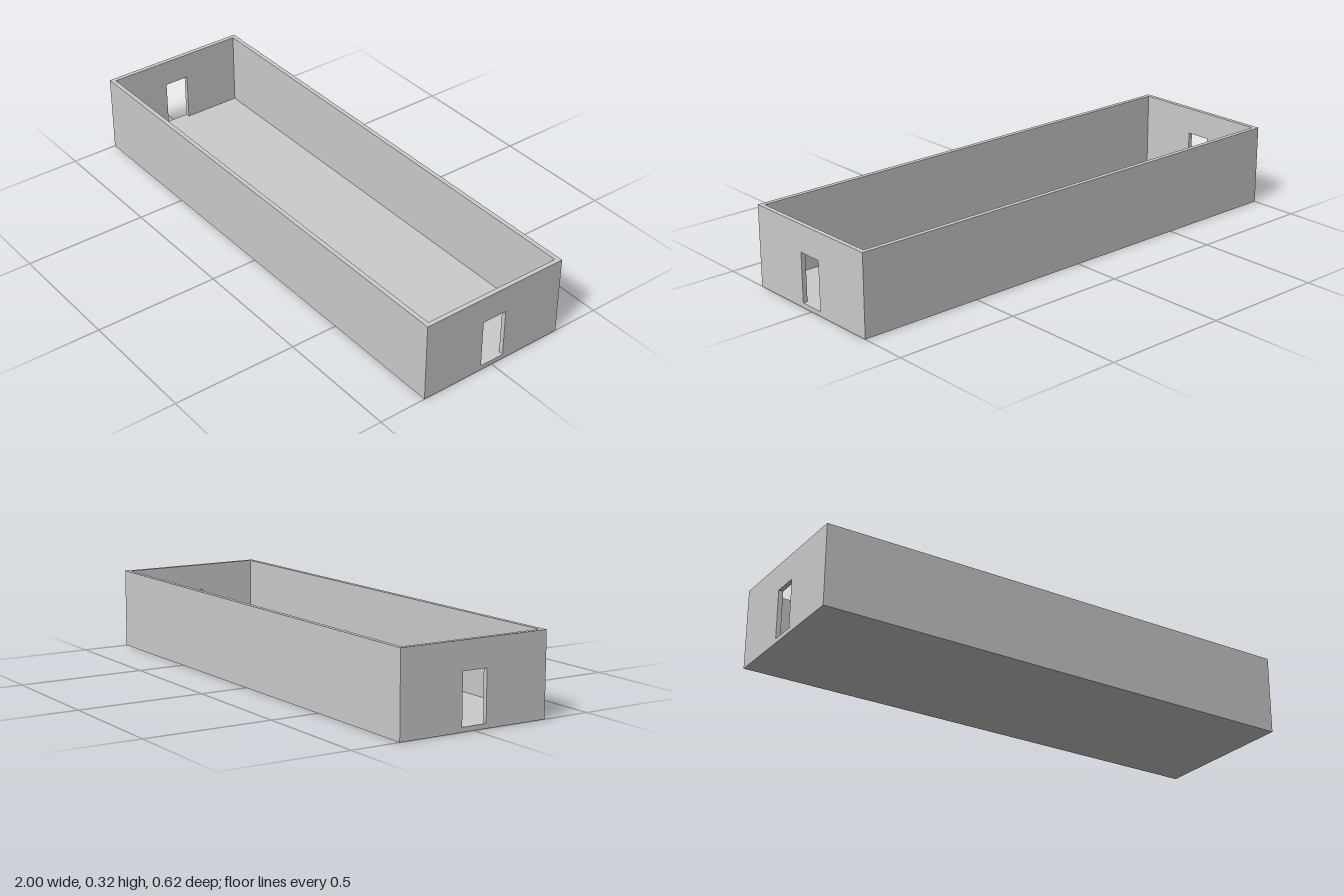
import * as THREE from 'three';

const L = 1, W = 0.308, H = 0.318;   // half length, half width, height
const T = 0.018;                     // wall and floor thickness
const DW = 0.051, DH = 0.211;        // doorway half width, top of doorway

const polygon = (points) => points.map(([x, y]) => new THREE.Vector2(x, y));
const rect = (x0, y0, x1, y1) => polygon([[x0, y0], [x1, y0], [x1, y1], [x0, y1]]);

export function createModel() {
  const model = new THREE.Group();
  const material = new THREE.MeshStandardMaterial({ color: 0xcccccc, flatShading: true });

  // One flat face of the shell; it faces +z before being turned
  function panel(parent, name, outline, { hole, rx = 0, ry = 0, at = [0, 0, 0] }) {
    const shape = new THREE.Shape(outline);
    if (hole) shape.holes.push(new THREE.Path(hole));
    const geometry = new THREE.ShapeGeometry(shape).rotateX(rx).rotateY(ry).translate(...at);
    const mesh = new THREE.Mesh(geometry, material);
    mesh.name = name;
    parent.add(mesh);
  }

  const up = -Math.PI / 2, down = Math.PI / 2;
  const li = L - T, wi = W - T;

  // Underside, floor and the rim along the top of the walls
  panel(model, 'underside', rect(-L, -W, L, W), { rx: down });
  panel(model, 'floor', rect(-li, -wi, li, wi), { rx: up, at: [0, T, 0] });
  panel(model, 'wallRim', rect(-L, -W, L, W), { hole: rect(-li, -wi, li, wi), rx: up, at: [0, H, 0] });

  // Long walls, front and back
  for (const [name, s] of [['frontWall', 1], ['backWall', -1]]) {
    const wall = new THREE.Group();
    wall.name = name;
    const out = s > 0 ? 0 : Math.PI;
    panel(wall, name + 'Outside', rect(-L, 0, L, H), { ry: out, at: [0, 0, s * W] });
    panel(wall, name + 'Inside', rect(-li, T, li, H), { ry: out + Math.PI, at: [0, 0, s * wi] });
    model.add(wall);
  }

  // End walls, each with a doorway down to the floor
  const insideOutline = polygon([
    [-wi, T], [-DW, T], [-DW, DH], [DW, DH], [DW, T], [wi, T], [wi, H], [-wi, H],
  ]);
  for (const [name, s] of [['leftEndWall', 1], ['rightEndWall', -1]]) {
    const wall = new THREE.Group();
    wall.name = name;
    const out = s * Math.PI / 2, mid = s * (L - T / 2);
    panel(wall, name + 'Outside', rect(-W, 0, W, H), { hole: rect(-DW, T, DW, DH), ry: out, at: [s * L, 0, 0] });
    panel(wall, name + 'Inside', insideOutline, { ry: -out, at: [s * li, 0, 0] });

    // Doorway lining: sill, lintel and two jambs
    panel(wall, 'doorSill', rect(-T / 2, -DW, T / 2, DW), { rx: up, at: [mid, T, 0] });
    panel(wall, 'doorLintel', rect(-T / 2, -DW, T / 2, DW), { rx: down, at: [mid, DH, 0] });
    panel(wall, 'doorJambBack', rect(-T / 2, T, T / 2, DH), { at: [mid, 0, -DW] });
    panel(wall, 'doorJambFront', rect(-T / 2, T, T / 2, DH), { ry: Math.PI, at: [mid, 0, DW] });
    model.add(wall);
  }

  return model;
}
